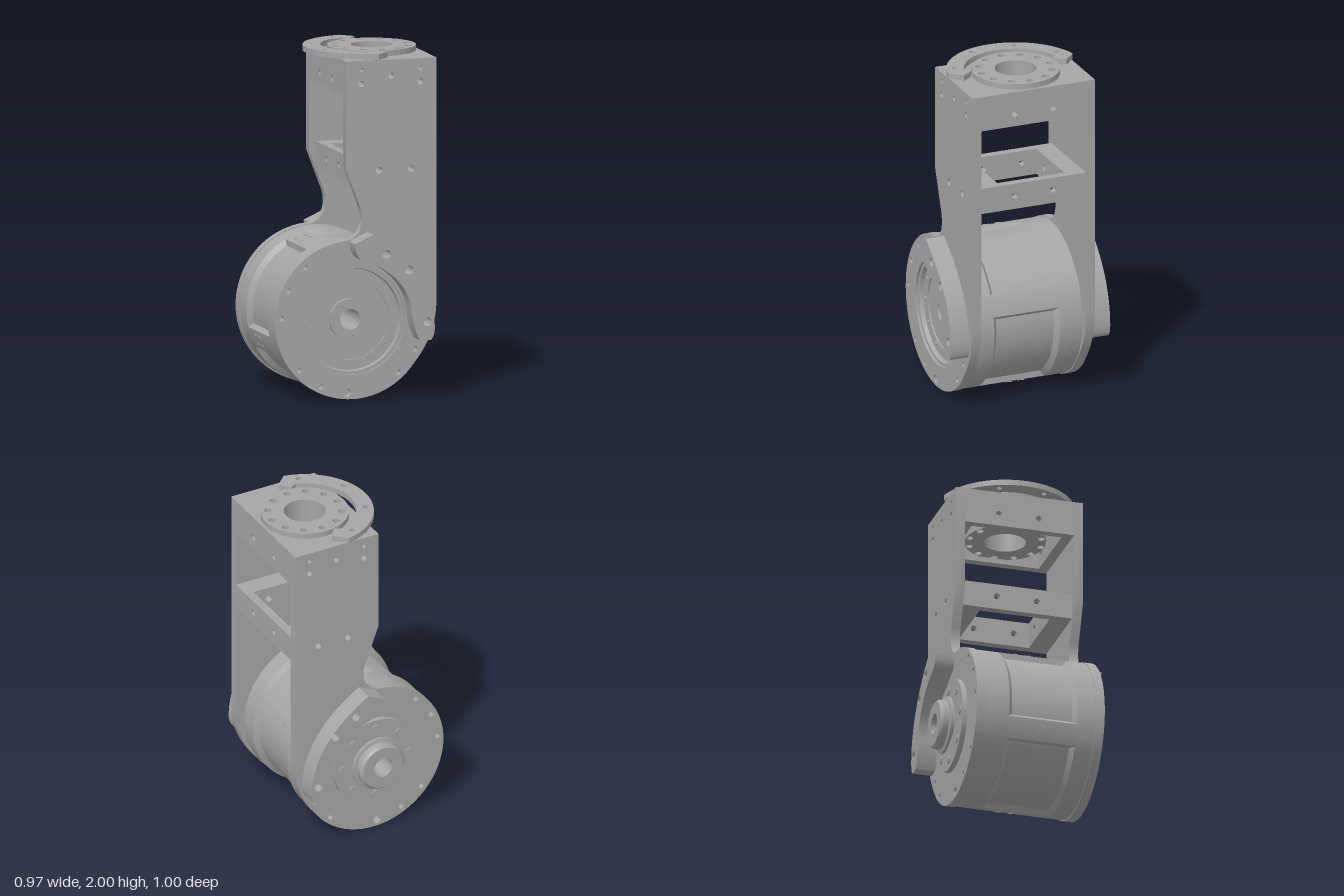
import * as THREE from 'three';
import { toCreasedNormals } from 'three/addons/utils/BufferGeometryUtils.js';

const CX = -0.025, CY = 0.463, R = 0.46; // joint axis and housing radius
const rad = (d) => (d * Math.PI) / 180;

export function createModel() {
  const group = new THREE.Group();
  const metal = new THREE.MeshStandardMaterial({ color: 0xa6a6a6 });
  metal.name = 'machined grey';

  const add = (name, geometry, x = 0, y = 0, z = 0) => {
    const mesh = new THREE.Mesh(toCreasedNormals(geometry, rad(32)), metal);
    mesh.name = name;
    mesh.position.set(x, y, z);
    group.add(mesh);
    return mesh;
  };
  const hole = (shape, x, y, r) => shape.holes.push(new THREE.Path().absarc(x, y, r, 0, Math.PI * 2, true));
  const extrude = (shape, depth, seg = 14) =>
    new THREE.ExtrudeGeometry(shape, { depth, bevelEnabled: false, curveSegments: seg });
  const rect = (x0, y0, x1, y1) => new THREE.Shape([[x0, y0], [x1, y0], [x1, y1], [x0, y1]].map((p) => new THREE.Vector2(...p)));
  const upward = (geometry) => geometry.rotateX(-Math.PI / 2);

  // Side plates: tall arm, curved neck and round housing cover
  const boltsTop = [[0.035, 1.91, 0.013], [0.39, 1.91, 0.013], [0.035, 1.83, 0.018], [0.215, 1.87, 0.018], [0.39, 1.83, 0.018]];
  const boltsMid = [[0.14, 1.325, 0.02], [0.333, 1.325, 0.02]];
  const sidePlate = (name, z, boreRadius) => {
    const s = new THREE.Shape();
    s.moveTo(0.485, 1.965);
    s.lineTo(-0.06, 1.965);
    s.lineTo(-0.06, 1.345);
    s.lineTo(0.025, 1.12);
    s.bezierCurveTo(0.06, 1.03, 0.03, 0.94, CX + R * Math.cos(rad(94)), CY + R * Math.sin(rad(94)));
    s.absarc(CX, CY, R, rad(94), rad(325), false);
    s.quadraticCurveTo(0.485, 0.36, 0.485, 0.56);
    hole(s, CX, CY, boreRadius);
    [...boltsTop, ...boltsMid].forEach((b) => hole(s, ...b));
    [0, 1, 2, 4, 5, 6, 8, 9].forEach((k) => {
      const a = rad(131.5 + 22.5 * k);
      hole(s, CX + 0.422 * Math.cos(a), CY + 0.422 * Math.sin(a), k === 6 ? 0.024 : 0.016);
    });
    add(name, extrude(s, 0.055, 32), 0, 0, z);
  };
  sidePlate('frontPlate', 0.33, 0.32);
  sidePlate('backPlate', -0.38, 0.268);

  // Cross frames joining the plates, open in the middle
  const crossFrame = (name, y0, y1, xLeft, holeY, zInner, bolts) => {
    for (const [x, side] of [[xLeft, 'Left'], [0.435, 'Right']]) {
      const s = rect(-0.33, y0, 0.33, y1);
      [-0.12, 0.12].forEach((z) => hole(s, z, holeY, 0.018));
      add(name + side, extrude(s, 0.05).rotateY(Math.PI / 2), x);
    }
    for (const z of [-0.33, zInner]) {
      const s = rect(xLeft + 0.05, y0, 0.435, y1);
      bolts.forEach((b) => hole(s, ...b));
      add(name + 'Wall', extrude(s, 0.33 - zInner), 0, 0, z);
    }
  };
  crossFrame('upperFrame', 1.755, 1.92, -0.06, 1.83, 0.27, boltsTop.filter((b) => b[1] < 1.9));
  crossFrame('middleFrame', 1.245, 1.4, -0.02, 1.325, 0.21, boltsMid);

  // Top cap with round opening
  const cap = rect(-0.06, -0.33, 0.485, 0.33);
  hole(cap, 0.215, 0, 0.2);
  add('topCap', upward(extrude(cap, 0.045, 24)), 0, 1.92);

  // Output flange with a ring of bolt holes, and the tube beneath it
  const ring = (outer, inner, bolts) => {
    const s = new THREE.Shape().absarc(0, 0, outer, 0, Math.PI * 2, false);
    hole(s, 0, 0, inner);
    for (let i = 0; i < bolts; i++) {
      const a = rad(30 * i);
      hole(s, 0.212 * Math.cos(a), 0.212 * Math.sin(a), 0.021);
    }
    return upward(extrude(s, 1, 20));
  };
  add('topFlange', ring(0.255, 0.12, 12), 0.215, 1.963, 0).scale.y = 0.035;
  add('flangeTube', ring(0.235, 0.12, 12), 0.215, 1.785, 0).scale.y = 0.178;

  // Top stop crescent
  const tc = new THREE.Shape();
  tc.absarc(0.215, 0, 0.397, rad(101), rad(259), false);
  tc.lineTo(0.212, -0.32);
  tc.lineTo(0.165, -0.257);
  tc.lineTo(0.12, -0.282);
  tc.absarc(0.215, 0, 0.297, rad(251), rad(109), true);
  tc.lineTo(0.165, 0.257);
  tc.lineTo(0.212, 0.32);
  for (const s of [-1, 1]) {
    hole(tc, 0.08, s * 0.322, 0.016);
    hole(tc, -0.109, s * 0.134, 0.016);
  }
  add('topStop', upward(extrude(tc, 0.033, 30)), 0, 1.967);

  // Stop crescents on the front and back plates
  const stop = new THREE.Shape();
  stop.moveTo(-0.04, 0.92);
  stop.quadraticCurveTo(-0.035, 0.85, 0.0, 0.825);
  stop.bezierCurveTo(0.18, 0.77, 0.29, 0.65, 0.3, 0.52);
  stop.quadraticCurveTo(0.31, 0.42, 0.35, 0.345);
  stop.lineTo(0.415, 0.345);
  stop.quadraticCurveTo(0.438, 0.36, 0.44, 0.42);
  stop.bezierCurveTo(0.435, 0.64, 0.31, 0.82, 0.07, 0.97);
  [[0.15, 0.853], [0.285, 0.755], [0.395, 0.45]].forEach(([x, y]) => hole(stop, x, y, 0.026));
  add('frontStop', extrude(stop, 0.115), 0, 0, 0.385);
  add('backStop', extrude(stop, 0.115), 0, 0, -0.495);

  // Motor housing turned about the joint axis: rear hub, waisted drum, front rotor, through bore
  const profile = [
    [0.06, -0.5], [0.13, -0.5], [0.143, -0.485], [0.143, -0.45], [0.165, -0.445], [0.165, -0.43], [0.11, -0.43],
    [0.11, -0.41], [0.27, -0.41], [0.27, -0.325], [0.455, -0.325], [0.455, -0.185], [0.425, -0.16],
    [0.425, 0.2], [0.455, 0.225], [0.455, 0.33], [0.32, 0.33], [0.32, 0.37], [0.3, 0.37], [0.295, 0.345],
    [0.235, 0.345], [0.235, 0.335], [0.12, 0.335], [0.12, 0.36], [0.06, 0.36], [0.06, -0.5],
  ].map((p) => new THREE.Vector2(...p));
  add('motorHousing', new THREE.LatheGeometry(profile, 64).rotateX(Math.PI / 2), CX, CY);

  // Raised ribs between the drum pockets
  for (let i = 0; i < 4; i++) {
    const s = new THREE.Shape();
    s.absarc(0, 0, 0.455, rad(-8), rad(8), false);
    s.absarc(0, 0, 0.415, rad(11), rad(-11), true);
    const rib = add('drumRib', extrude(s, 0.41, 6), CX, CY, -0.185);
    rib.rotation.z = rad(21 + 90 * i);
    // Four small screws on each rib
    for (const a of [-3.5, 3.5]) for (const z of [-0.065, 0.01]) {
      const t = rad(21 + 90 * i + a);
      const screw = add('ribScrew', new THREE.CylinderGeometry(0.011, 0.011, 0.008, 8), CX + 0.455 * Math.cos(t), CY + 0.455 * Math.sin(t), z);
      screw.rotation.z = t - Math.PI / 2;
    }
  }

  // Screws on the front rotor, front hub and rear cover
  const screws = (name, angles, r, z, size) => angles.forEach((d) => {
    const g = new THREE.CylinderGeometry(size, size, 0.016, 8).rotateX(Math.PI / 2);
    add(name, g, CX + r * Math.cos(rad(d)), CY + r * Math.sin(rad(d)), z);
  });
  screws('rotorScrew', [5, 35, 65, 95, 107, 120, 154, 183, 213, 245, 277, 290, 305, 327], 0.264, 0.345, 0.014);
  screws('hubScrew', [110, 290], 0.09, 0.36, 0.018);
  screws('coverScrew', [0, 45, 90, 135, 180, 225, 270, 315], 0.215, -0.41, 0.025);

  return group;
}
